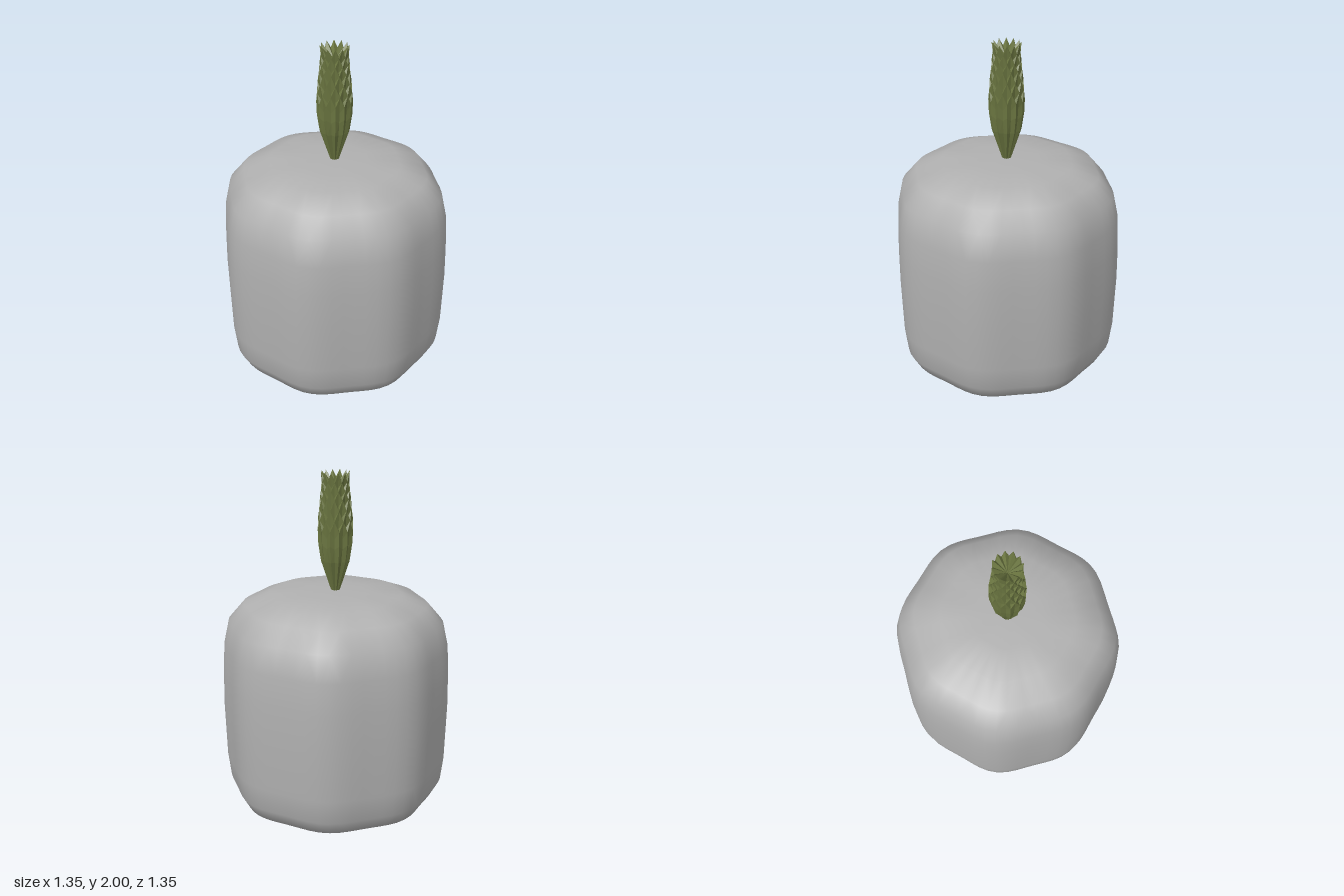
import * as THREE from 'three';

const bodyMat = new THREE.MeshStandardMaterial({ color: 0xb0b0b0 });
const stemMat = new THREE.MeshStandardMaterial({ color: 0x6a7540 });
bodyMat.name = 'pale grey';
stemMat.name = 'olive green';

// Joins rings of points [x, y, z] (bottom to top) into one surface, with a pole point at each end.
function loft(rings, bottom, top) {
  const n = rings[0].length;
  const pos = [...rings.flat(2), ...bottom, ...top];
  const b = rings.length * n, t = b + 1, last = (rings.length - 1) * n;
  const index = [];
  for (let j = 0; j < n; j++) {
    const k = (j + 1) % n;
    index.push(b, j, k, t, last + k, last + j);
    for (let i = 0; i < rings.length - 1; i++) {
      const a = i * n + j, c = i * n + k;
      // alternate the diagonal so the ribs stay mirror-symmetric
      if ((i + j) % 2) index.push(a, a + n, c, c, a + n, c + n);
      else index.push(a, a + n, c + n, a, c + n, c);
    }
  }
  const g = new THREE.BufferGeometry();
  g.setAttribute('position', new THREE.Float32BufferAttribute(pos, 3));
  g.setIndex(index);
  g.computeVertexNormals();
  return g;
}

// One ring; the angle runs clockwise seen from above.
function ring(n, fn) {
  return Array.from({ length: n }, (_, j) => {
    const a = (j / n) * Math.PI * 2;
    const [r, y] = fn(j, a);
    return [r * Math.cos(a), y, r * Math.sin(a)];
  });
}

// Rounded block with eight soft lobes
function makeBody() {
  const profile = [
    [0.24, 0.005], [0.455, 0.015], [0.6, 0.05], [0.648, 0.135], [0.666, 0.28], [0.675, 0.6],
    [0.672, 0.8], [0.663, 0.98], [0.63, 1.13], [0.54, 1.235], [0.385, 1.295], [0.2, 1.306],
  ];
  const rings = profile.map(([r, y]) =>
    ring(64, (j, a) => [r * (0.979 + 0.021 * Math.cos(8 * (a - 0.025))), y]));
  const mesh = new THREE.Mesh(loft(rings, [0, 0, 0], [0, 1.315, 0]), bodyMat);
  mesh.name = 'body';
  return mesh;
}

// Ribbed stalk: straight ribs below, alternating diamonds above, pointed crown with a funnel
function makeStem() {
  // radius, height, rib parity, height shift of the ridges
  const profile = [
    [0.025, 1.31, 0, 0], [0.055, 1.4, 0, 0], [0.085, 1.49, 0, 0], [0.1, 1.58, 0, 0.01],
    [0.103, 1.65, 0, 0.02], [0.1, 1.71, 1, 0.02], [0.094, 1.77, 0, 0.02], [0.088, 1.83, 1, 0.02],
    [0.083, 1.88, 0, 0.015], [0.079, 1.93, 1, 0.015], [0.082, 1.98, 0, 0.02],
  ];
  const rings = profile.map(([r, y, parity, lift]) =>
    ring(24, (j) => {
      const ridge = j % 2 === parity;
      return [r * (ridge ? 1 : 0.86), y + (ridge ? lift : -lift)];
    }));
  const flat = loft(rings, [0, 1.305, 0], [0, 1.91, 0]).toNonIndexed();
  flat.computeVertexNormals();
  const mesh = new THREE.Mesh(flat, stemMat);
  mesh.name = 'stem';
  return mesh;
}

export function createModel() {
  const model = new THREE.Group();
  model.name = 'blockWithStem';
  model.add(makeBody(), makeStem());
  return model;
}
